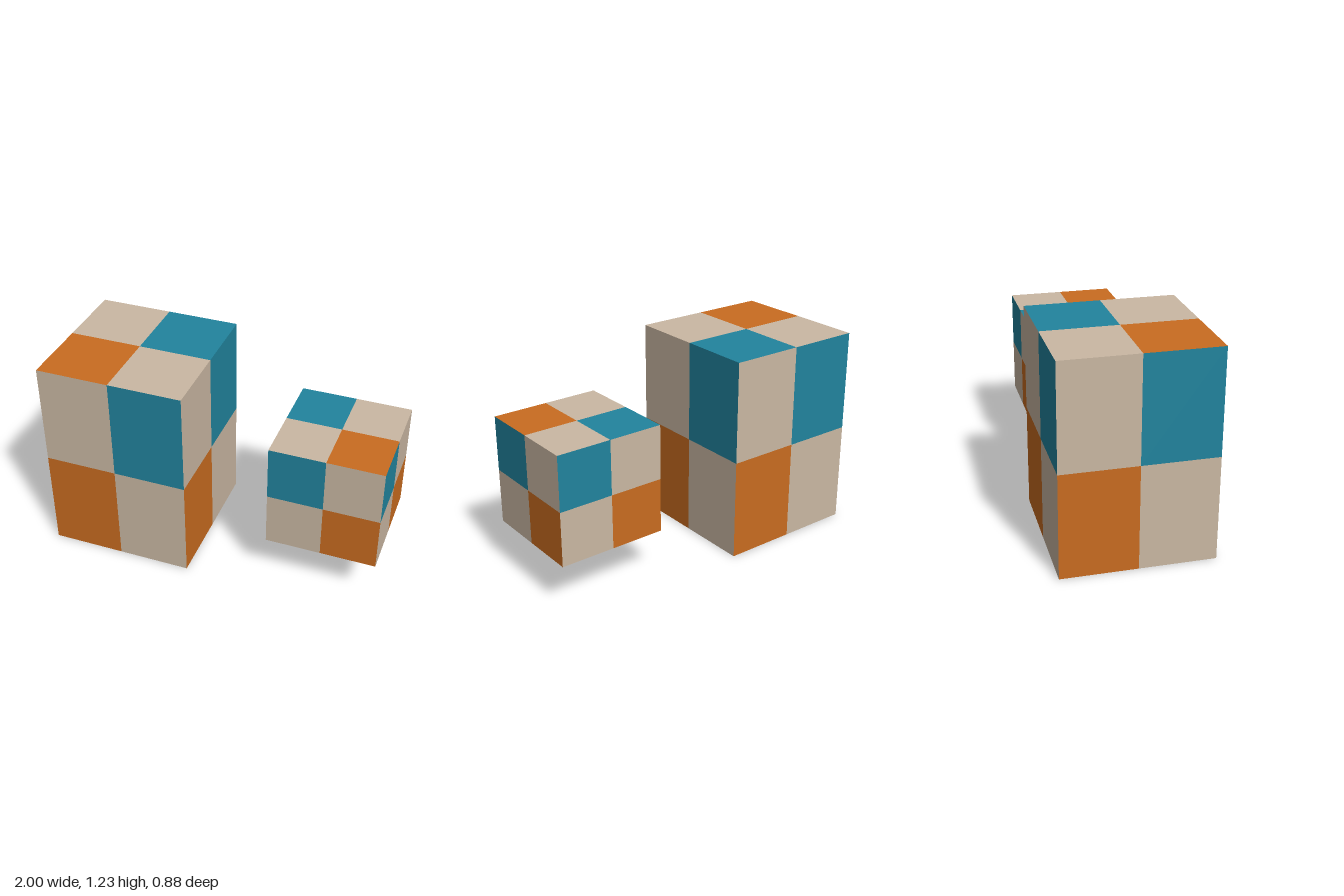
import * as THREE from 'three';

const tan = new THREE.MeshStandardMaterial({ color: 0xcab8a3 });
tan.name = 'tan';
const teal = new THREE.MeshStandardMaterial({ color: 0x21849e });
teal.name = 'teal';
const orange = new THREE.MeshStandardMaterial({ color: 0xc96c20 });
orange.name = 'orange';

// Box whose every face is split in four; quarters run top left, top right, bottom left, bottom right
function quarteredBox(name, size, centre, quarters) {
  const geometry = new THREE.BoxGeometry(...size, 2, 2, 2);
  geometry.clearGroups();
  for (let cell = 0; cell < 24; cell++) geometry.addGroup(cell * 6, 6, cell % 4);
  const mesh = new THREE.Mesh(geometry, quarters);
  mesh.name = name;
  mesh.position.set(...centre);
  return mesh;
}

export function createModel() {
  const model = new THREE.Group();
  model.name = 'checkeredBlocks';
  model.add(
    // Tall block standing on the ground
    quarteredBox('tallBlock', [0.877, 1.233, 0.877], [-0.5615, 0.6165, 0], [tan, teal, orange, tan]),
    // Smaller cube floating beside it at mid height, pattern mirrored
    quarteredBox('smallCube', [0.658, 0.658, 0.658], [0.671, 0.6165, 0], [teal, tan, tan, orange]),
  );
  return model;
}
